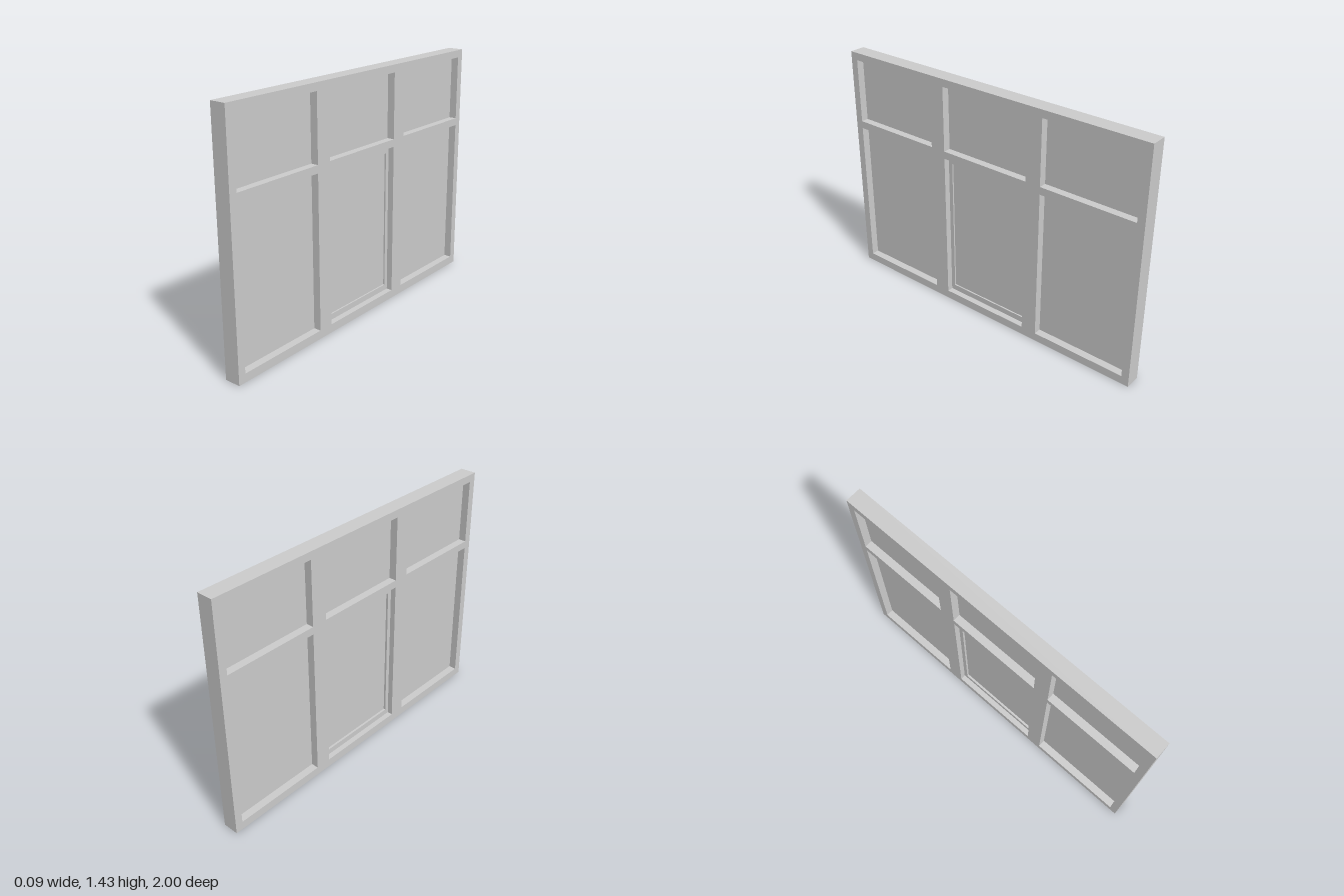
import * as THREE from 'three';

const DEPTH = 0.095;
const LOW = [0.05, 0.955], HIGH = [1.0, 1.385];
const BAYS = [[-0.955, -0.38], [-0.285, 0.285], [0.38, 0.955]];

// Closed rectangle path from z and y ranges
function trace(path, [z0, z1], [y0, y1]) {
  path.moveTo(z0, y0);
  path.lineTo(z1, y0);
  path.lineTo(z1, y1);
  path.lineTo(z0, y1);
  path.closePath();
  return path;
}

// Flat board in the zy plane with rectangular openings, thick along x
function board(name, z, y, holes, depth, x, material) {
  const shape = trace(new THREE.Shape(), z, y);
  for (const [hz, hy] of holes) shape.holes.push(trace(new THREE.Path(), hz, hy));
  const geometry = new THREE.ExtrudeGeometry(shape, { depth, bevelEnabled: false });
  geometry.translate(0, 0, -depth / 2);
  geometry.rotateY(-Math.PI / 2); // shape x runs along +z
  const mesh = new THREE.Mesh(geometry, material);
  mesh.name = name;
  mesh.position.x = x;
  return mesh;
}

export function createModel() {
  const group = new THREE.Group();
  group.name = 'windowWall';
  const grey = new THREE.MeshStandardMaterial({ color: 0xcccccc });
  grey.name = 'light grey';

  // Outer frame with mullions and transom
  const openings = BAYS.flatMap((z) => [[z, LOW], [z, HIGH]]);
  group.add(board('frame', [-1, 1], [0, 1.43], openings, DEPTH, 0, grey));

  // Sash of the opening casement
  const sashHole = [[-0.26, 0.26], [0.085, 0.915]];
  group.add(board('sash', BAYS[1], LOW, [sashHole], 0.026, -0.002, grey));

  // Thin panes at mid depth
  for (const [z, y] of openings) {
    const inSash = z === BAYS[1] && y === LOW;
    const [pz, py] = inSash ? sashHole : [z, y];
    group.add(board('pane', pz, py, [], 0.004, 0, grey));
  }
  return group;
}
